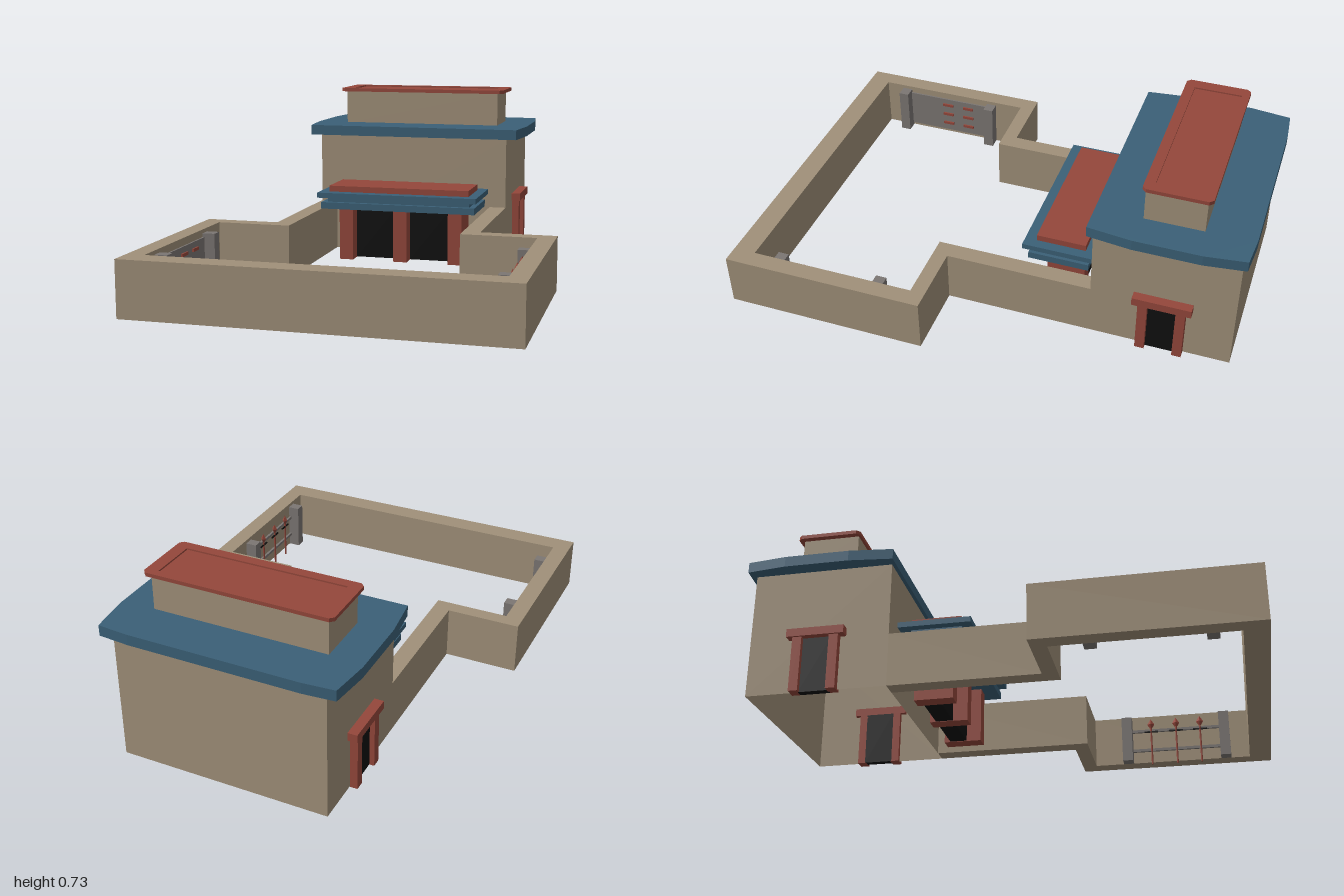
import * as THREE from 'three';

const mat = (name, color, side = THREE.FrontSide) => {
  const m = new THREE.MeshStandardMaterial({ color, side });
  m.name = name;
  return m;
};

export function createModel() {
  const root = new THREE.Group();
  root.name = 'courtyardHall';
  const stone = mat('stone', 0xa09079, THREE.DoubleSide);
  const blue = mat('blueTile', 0x3b6077);
  const red = mat('redPaint', 0x94473b);
  const black = mat('blackDoor', 0x0f0f0f);
  const grey = mat('greyMetal', 0x7b7673);

  const add = (name, geo, material, parent = root) => {
    const m = new THREE.Mesh(geo, material);
    m.name = name;
    parent.add(m);
    return m;
  };
  // Box given by its limits on each axis
  const box = (name, material, x0, x1, y0, y1, z0, z1, parent) => {
    const g = new THREE.BoxGeometry(Math.abs(x1 - x0), y1 - y0, z1 - z0);
    g.translate((x0 + x1) / 2, (y0 + y1) / 2, (z0 + z1) / 2);
    return add(name, g, material, parent);
  };
  // Slab cut from a plan outline of [x, z] points, between two heights
  const slab = (name, material, pts, y0, y1, hole) => {
    const toV = (p) => p.map(([x, z]) => new THREE.Vector2(x, z));
    const s = new THREE.Shape(toV(pts));
    if (hole) s.holes.push(new THREE.Path(toV(hole)));
    const g = new THREE.ExtrudeGeometry(s, { depth: y1 - y0, bevelEnabled: false });
    g.rotateX(Math.PI / 2).translate(0, y1, 0);
    return add(name, g, material);
  };
  const mirrored = (half) => [...half, ...half.map(([x, z]) => [-x, z]).reverse()];

  // Courtyard wall: one U-shaped outline
  slab('courtyardWall', stone, mirrored([
    [0.65, 0.91], [0.65, 0.24], [0.35, 0.24], [0.35, -0.41], [0.42, -0.41],
    [0.42, 0.18], [0.72, 0.18], [0.72, 1.0],
  ]), 0.015, 0.23);

  // Main hall, open underneath
  const hall = box('hallWalls', stone, -0.42, 0.42, 0.015, 0.53, -0.97, -0.41);
  const idx = Array.from(hall.geometry.index.array);
  idx.splice(18, 6);
  hall.geometry.setIndex(idx);
  hall.geometry.clearGroups();

  // Roof with gently bowed sides
  slab('mainRoof', blue, mirrored([
    [0.34, -1.0], [0.465, -0.99], [0.485, -0.83], [0.485, -0.57], [0.465, -0.395],
  ]), 0.53, 0.573);

  // Upper storey and its rimmed cap
  box('upperStorey', stone, -0.35, 0.35, 0.57, 0.718, -0.81, -0.58);
  const rect = (x, z0, z1, c) => mirrored([
    [x - c, z0], [x, z0 + c], [x, z1 - c], [x - c, z1],
  ]);
  slab('capRim', red, rect(0.375, -0.83, -0.57, 0.015), 0.715, 0.73, mirrored([[0.325, -0.8], [0.325, -0.61]]));
  box('capPanel', red, -0.325, 0.325, 0.714, 0.724, -0.8, -0.61);

  // Side doors, one on each side of the hall
  for (const s of [-1, 1]) {
    const door = new THREE.Group();
    door.name = s > 0 ? 'leftSideDoor' : 'rightSideDoor';
    root.add(door);
    box('doorPanel', black, s * 0.4, s * 0.43, 0.012, 0.235, -0.755, -0.635, door);
    box('doorPost', red, s * 0.4, s * 0.45, 0.012, 0.235, -0.64, -0.603, door);
    box('doorPost', red, s * 0.4, s * 0.45, 0.012, 0.235, -0.787, -0.75, door);
    box('doorLintel', red, s * 0.4, s * 0.458, 0.235, 0.268, -0.81, -0.58, door);
  }

  // Front porch: pillars, doors and stepped canopy
  for (const x of [-0.24, 0, 0.24]) {
    box('porchPillar', red, x - 0.03, x + 0.03, 0.01, 0.242, -0.345, -0.19);
  }
  for (const x of [-0.12, 0.12]) {
    box('porchDoor', black, x - 0.09, x + 0.09, 0.012, 0.24, -0.32, -0.25);
  }
  box('canopyLower', blue, -0.335, 0.335, 0.24, 0.268, -0.375, -0.13);
  box('canopyMiddle', blue, -0.31, 0.31, 0.268, 0.29, -0.355, -0.15);
  box('canopyUpper', blue, -0.345, 0.345, 0.29, 0.312, -0.4, -0.108);
  box('canopyTop', red, -0.305, 0.305, 0.312, 0.337, -0.355, -0.155);

  // Racks on the inside of the side walls
  for (const s of [-1, 1]) {
    const rack = new THREE.Group();
    rack.name = s > 0 ? 'leftRack' : 'rightRack';
    root.add(rack);
    for (const z of [0.385, 0.81]) {
      box('rackPost', grey, s * 0.6, s * 0.65, 0.015, 0.215, z - 0.022, z + 0.022, rack);
    }
    if (s < 0) {
      box('rackPanel', grey, -0.65, -0.643, 0.03, 0.2, 0.4, 0.79, rack);
      for (const z of [0.5, 0.6]) for (const y of [0.07, 0.12, 0.17]) {
        box('rackBar', red, -0.645, -0.636, y - 0.006, y + 0.006, z - 0.025, z + 0.025, rack);
      }
    } else {
      for (const y of [0.07, 0.16]) {
        box('rackRail', grey, 0.638, 0.648, y - 0.006, y + 0.006, 0.4, 0.79, rack);
      }
      // Upright poles with diamond heads
      for (const z of [0.49, 0.6, 0.705]) {
        add('pole', new THREE.CylinderGeometry(0.004, 0.004, 0.2, 6), red, rack).position.set(0.63, 0.1, z);
        const head = add('poleHead', new THREE.OctahedronGeometry(0.016), red, rack);
        head.position.set(0.63, 0.185, z);
        head.scale.set(0.8, 1.6, 1);
        box('crossbar', black, 0.627, 0.633, 0.148, 0.154, z - 0.03, z + 0.03, rack);
      }
    }
  }
  return root;
}
